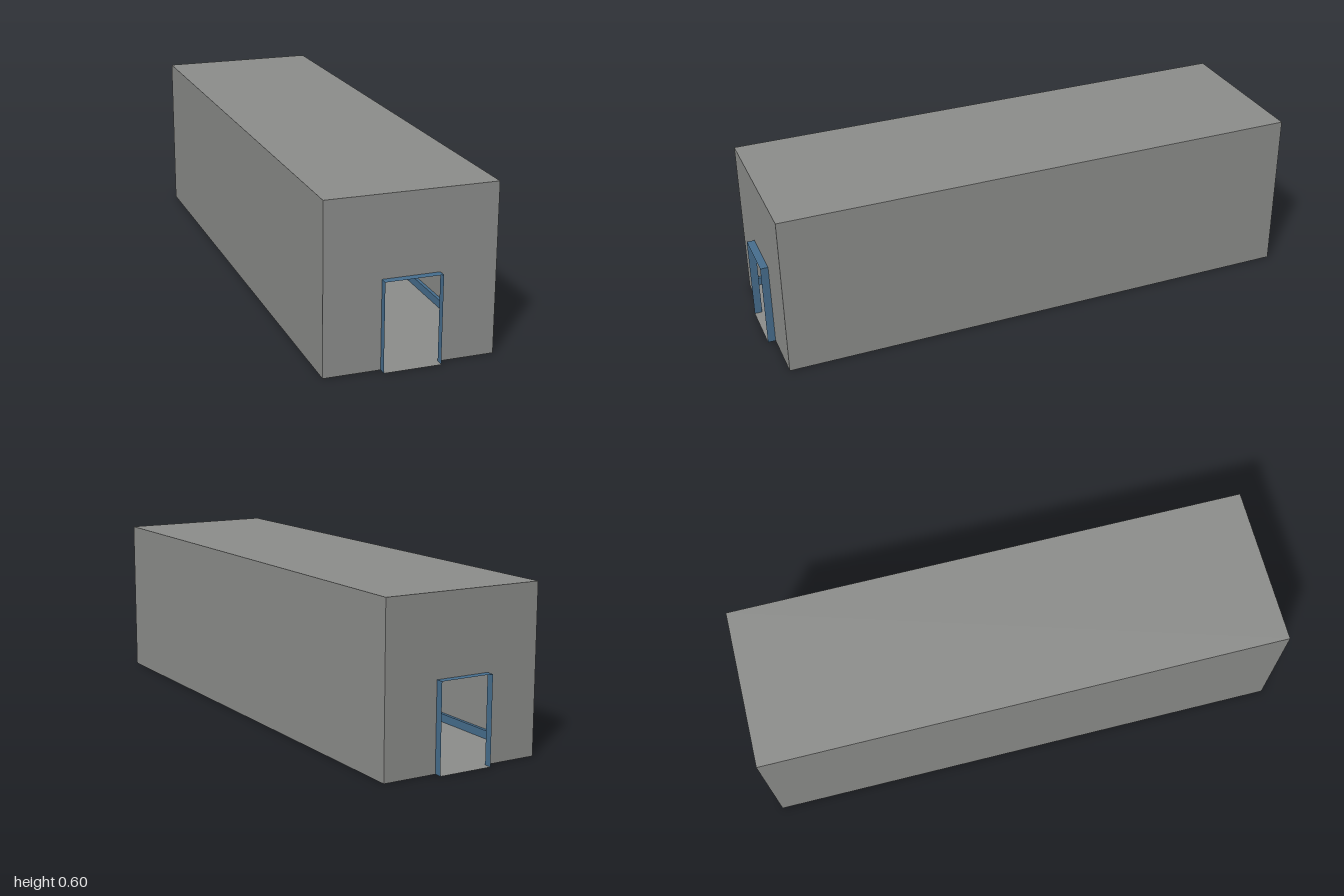
import * as THREE from 'three';

const W = 0.595, H = 0.595, Z = 0.972;   // hall width, height, half length
const DW = 0.2, DH = 0.312, END = 1;     // door opening and end of its frame

export function createModel() {
  const model = new THREE.Group();
  const grey = new THREE.MeshStandardMaterial({ color: 0x8b8c8a, side: THREE.DoubleSide });
  grey.name = 'wallGrey';
  const blue = new THREE.MeshStandardMaterial({ color: 0x466d8d, side: THREE.DoubleSide });
  blue.name = 'trimBlue';

  const add = (name, geometry, material, x, y, z) => {
    const mesh = new THREE.Mesh(geometry, material);
    mesh.name = name;
    mesh.position.set(x, y, z);
    model.add(mesh);
    return mesh;
  };
  // thin sheets: level ones face up, upright ones face sideways
  const level = (name, w, d, mat, y, z, flip = 1) =>
    add(name, new THREE.PlaneGeometry(w, d).rotateX(-flip * Math.PI / 2), mat, 0, y, z);
  const upright = (name, h, d, mat, x, z) =>
    add(name, new THREE.PlaneGeometry(d, h).rotateY(Math.sign(x) * Math.PI / 2), mat, x, h / 2, z);

  // hollow hall
  level('roof', W, 2 * Z, grey, H, 0);
  level('floor', W, 2 * Z, grey, 0, 0, -1);

  for (const s of [-1, 1]) {
    upright('sideWall', H, 2 * Z, grey, s * W / 2, 0);

    // trim strips along the inner corners
    for (const y of [0.016, H - 0.016])
      add('cornerTrim', new THREE.BoxGeometry(0.012, 0.03, 2 * Z - 0.004), blue, s * (W / 2 - 0.007), y, 0);

    // end wall with a doorway cut up from its lower edge
    const wall = new THREE.Shape([
      [-W / 2, 0], [-DW / 2, 0], [-DW / 2, DH], [DW / 2, DH],
      [DW / 2, 0], [W / 2, 0], [W / 2, H], [-W / 2, H],
    ].map(([x, y]) => new THREE.Vector2(x, y)));
    const endWall = add('endWall', new THREE.ShapeGeometry(wall), grey, 0, 0, s * Z);
    if (s < 0) endWall.rotation.y = Math.PI;

    // thin door frame standing out from the wall
    const d = END - Z, z = s * (Z + END) / 2;
    for (const x of [-DW / 2, DW / 2]) upright('doorFrameSide', DH, d, blue, x, z);
    level('doorFrameTop', DW, d, blue, DH, z);
    level('doorSill', DW, d, grey, 0, z, -1);
  }
  return model;
}
